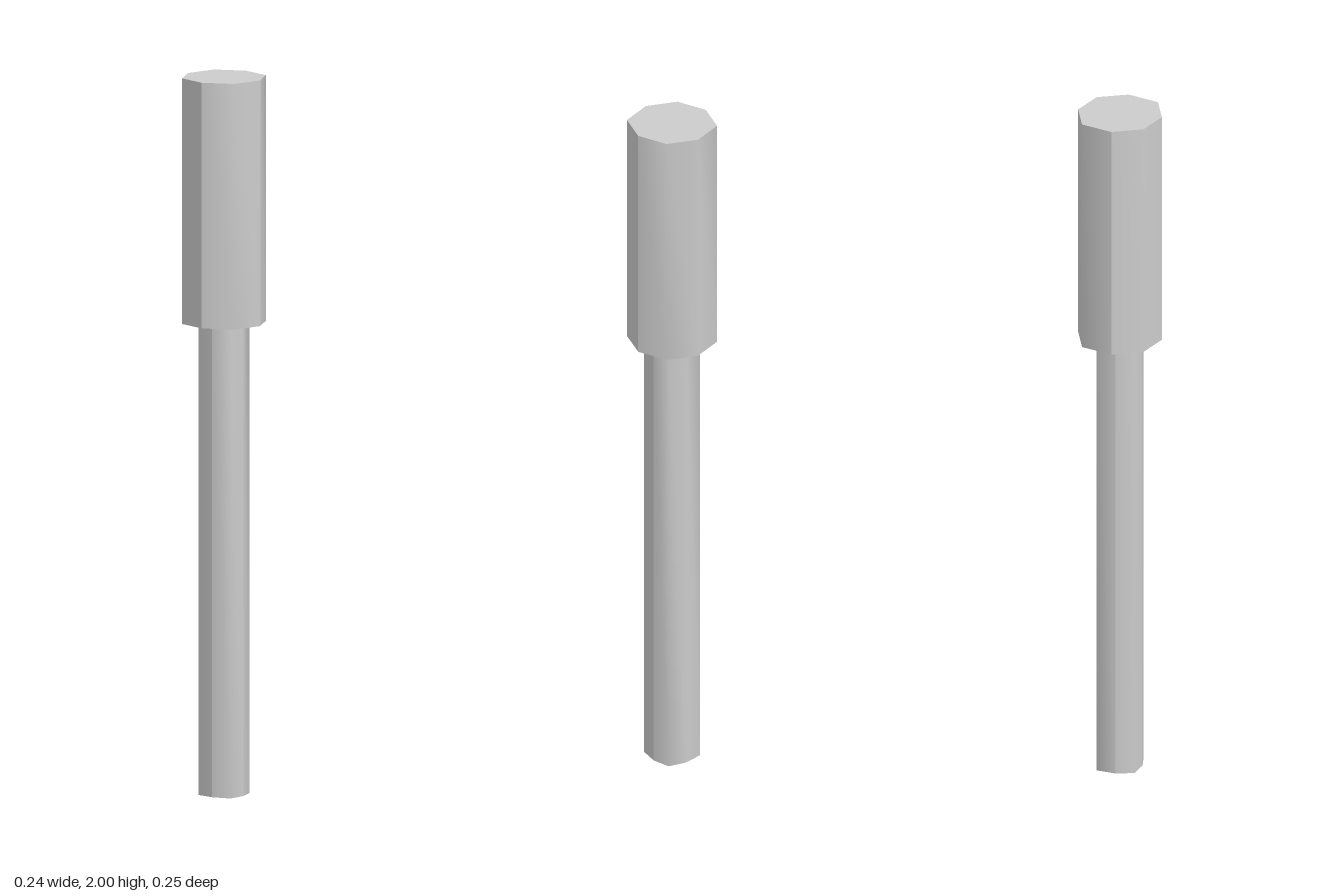
import * as THREE from 'three';
import { mergeGeometries } from 'three/addons/utils/BufferGeometryUtils.js';

// Upright eight-sided bar: corners on both axes (rx, rz) and on the diagonals (d).
// Each wall wraps smoothly round an axis corner and creases at the diagonals.
function octagonalBar(name, rx, rz, d, y0, y1, material) {
  const ring = [[d, d], [rx, 0], [d, -d], [0, -rz], [-d, -d], [-rx, 0], [-d, d], [0, rz]];
  const parts = [];
  const addPart = (points, index) => {
    const g = new THREE.BufferGeometry();
    g.setAttribute('position', new THREE.Float32BufferAttribute(points.flat(), 3));
    g.setIndex(index);
    g.computeVertexNormals();
    parts.push(g);
  };

  // four walls of two facets each
  for (let side = 0; side < 8; side += 2) {
    const points = [];
    for (let k = 0; k < 3; k++) {
      const [x, z] = ring[(side + k) % 8];
      points.push([x, y0, z], [x, y1, z]);
    }
    addPart(points, [0, 2, 1, 1, 2, 3, 2, 4, 3, 3, 4, 5]);
  }

  // flat end caps
  const top = [], bottom = [];
  for (let i = 1; i < 7; i++) {
    top.push(0, i, i + 1);
    bottom.push(0, i + 1, i);
  }
  addPart(ring.map(([x, z]) => [x, y1, z]), top);
  addPart(ring.map(([x, z]) => [x, y0, z]), bottom);

  const mesh = new THREE.Mesh(mergeGeometries(parts), material);
  mesh.name = name;
  return mesh;
}

export function createModel() {
  const model = new THREE.Group();
  model.name = 'handledRod';
  const grey = new THREE.MeshStandardMaterial({ color: 0xcccccc });
  model.add(
    octagonalBar('shaft', 0.072, 0.078, 0.045, 0, 1.315, grey),
    octagonalBar('head', 0.118, 0.125, 0.083, 1.315, 2, grey),
  );
  return model;
}
